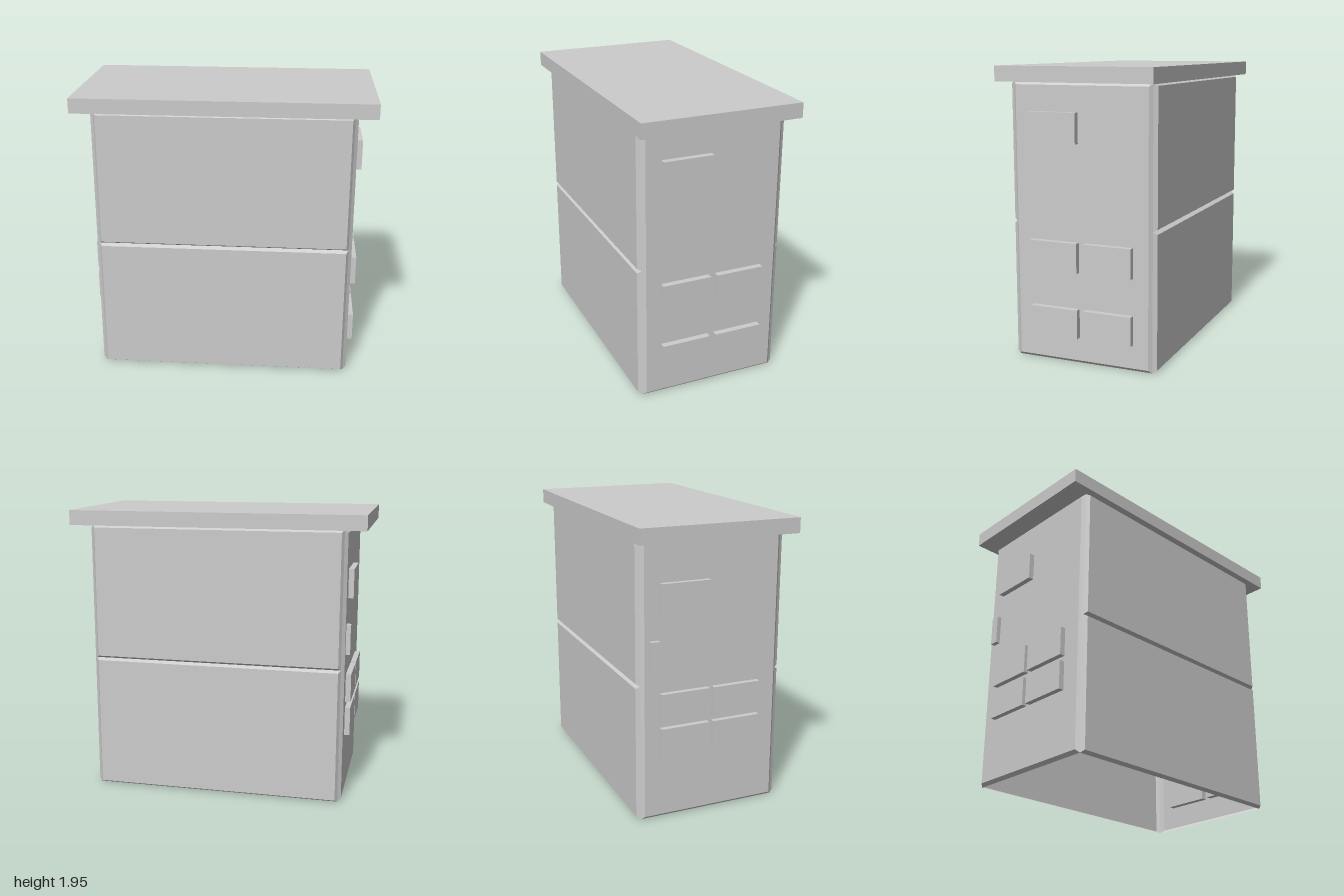
import * as THREE from 'three';

const material = new THREE.MeshStandardMaterial({ color: 0xcccccc, flatShading: true });
const shellMaterial = new THREE.MeshStandardMaterial({ color: 0xcccccc, flatShading: true, side: THREE.DoubleSide });

const HALF_W = 0.853, HALF_D = 0.485, WALL_H = 1.85;

// Thin raised panel with bevelled rim, open at the back, facing +z
function panelGeometry(w, h, depth, inset) {
  const rect = (hw, hh, z) => [-hw, -hh, z, hw, -hh, z, hw, hh, z, -hw, hh, z];
  const positions = [...rect(w / 2, h / 2, 0), ...rect(w / 2 - inset, h / 2 - inset, depth)];
  const index = [4, 5, 6, 4, 6, 7];
  for (let i = 0; i < 4; i++) {
    const j = (i + 1) % 4;
    index.push(i, j, j + 4, i, j + 4, i + 4);
  }
  const geometry = new THREE.BufferGeometry();
  geometry.setAttribute('position', new THREE.Float32BufferAttribute(positions, 3));
  geometry.setIndex(index);
  const flat = geometry.toNonIndexed();
  flat.computeVertexNormals();
  return flat;
}

function box(name, x0, x1, y0, y1, z0, z1) {
  const mesh = new THREE.Mesh(new THREE.BoxGeometry(x1 - x0, y1 - y0, z1 - z0), material);
  mesh.name = name;
  mesh.position.set((x0 + x1) / 2, (y0 + y1) / 2, (z0 + z1) / 2);
  return mesh;
}

export function createModel() {
  const model = new THREE.Group();
  model.name = 'building';

  // Front and back walls: two stacked panels each, meeting in a groove
  const storey = panelGeometry(HALF_W * 2, WALL_H / 2, 0.026, 0.016);
  for (const side of [1, -1]) {
    for (const level of [0, 1]) {
      const panel = new THREE.Mesh(storey, shellMaterial);
      panel.name = (side > 0 ? 'front' : 'back') + (level ? 'UpperPanel' : 'LowerPanel');
      panel.position.set(0, WALL_H * (0.25 + level * 0.5), side * HALF_D);
      panel.rotation.y = side > 0 ? 0 : Math.PI;
      model.add(panel);
    }
  }

  // Side walls: one tall panel each
  const sideWall = panelGeometry(HALF_D * 2, WALL_H, 0.022, 0.021);
  for (const side of [1, -1]) {
    const wall = new THREE.Mesh(sideWall, shellMaterial);
    wall.name = side > 0 ? 'leftWall' : 'rightWall';
    wall.position.set(side * HALF_W, WALL_H / 2, 0);
    wall.rotation.y = side * Math.PI / 2;
    model.add(wall);
  }

  // Flat overhanging roof
  model.add(box('roof', -1, 1, WALL_H, 1.95, -0.543, 0.543));

  // Window blocks set through the +x wall: [y0, y1, z0, z1]
  const leftWindows = [
    [1.46, 1.66, 0.02, 0.36],
    [0.62, 0.82, 0.02, 0.36], [0.62, 0.82, -0.36, -0.025],
    [0.18, 0.375, 0.02, 0.36], [0.18, 0.375, -0.36, -0.025],
  ];
  for (const w of leftWindows) model.add(box('leftWindow', 0.835, 0.917, ...w));

  // Window blocks set through the -x wall
  const rightWindows = [
    [1.39, 1.585, -0.36, -0.025],
    [0.675, 0.87, -0.36, -0.025], [0.675, 0.87, 0.005, 0.34],
    [0.44, 0.635, -0.36, -0.025], [0.44, 0.635, 0.005, 0.34],
  ];
  for (const w of rightWindows) model.add(box('rightWindow', -0.911, -0.83, ...w));
  model.add(box('narrowWindow', -0.905, -0.83, 1.02, 1.22, -0.43, -0.37));

  return model;
}
